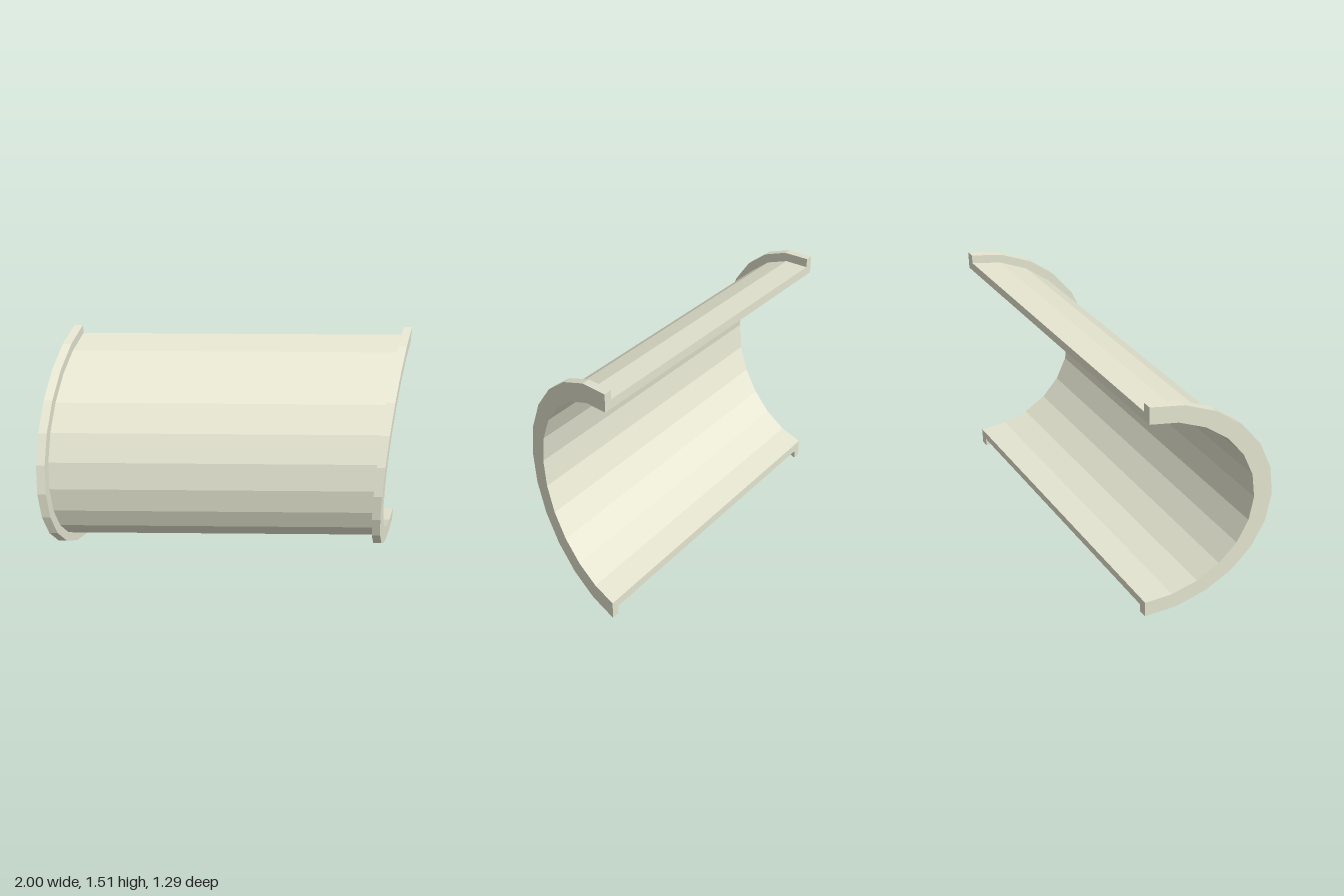
import * as THREE from 'three';

const INNER = 0.645, BODY = 0.70, FLANGE = 0.755; // radii
const HALF = 1, LIP = 0.05;                       // half length, flange width
const SLANT = Math.tan(Math.PI / 12);             // ends are skewed by 15 degrees

export function createModel() {
  const group = new THREE.Group();
  group.name = 'slantedHalfSleeve';
  const material = new THREE.MeshStandardMaterial({ color: 0xe6e6d2, flatShading: true });

  // Wall section as (radius, position along the axis), counter-clockwise
  const e = HALF - LIP;
  const section = [
    [INNER, -HALF], [FLANGE, -HALF], [FLANGE, -e], [BODY, -e],
    [BODY, e], [FLANGE, e], [FLANGE, HALF], [INNER, HALF],
  ].map(([r, h]) => new THREE.Vector2(r, h));

  // Lay the axis along x, skew it towards the back on +x, and lift it to the ground
  const skew = new THREE.Matrix4().set(
    1, 0, 0, 0,
    0, 1, 0, FLANGE,
    -SLANT, 0, 1, -FLANGE / 2,
    0, 0, 0, 1,
  );
  const add = (name, geometry) => {
    let g = geometry.rotateZ(-Math.PI / 2).applyMatrix4(skew);
    g = g.toNonIndexed();
    g.computeVertexNormals();
    const mesh = new THREE.Mesh(g, material);
    mesh.name = name;
    group.add(mesh);
  };

  // Half-round wall with a flange at each end
  add('flangedHalfTube',
    new THREE.LatheGeometry([...section, section[0]], 12, -Math.PI / 2, Math.PI));

  // Flat cut edges along the open back
  const cut = () => new THREE.ShapeGeometry(new THREE.Shape(section));
  add('upperCutEdge', cut().rotateY(Math.PI));
  add('lowerCutEdge', cut().rotateX(Math.PI));

  return group;
}
